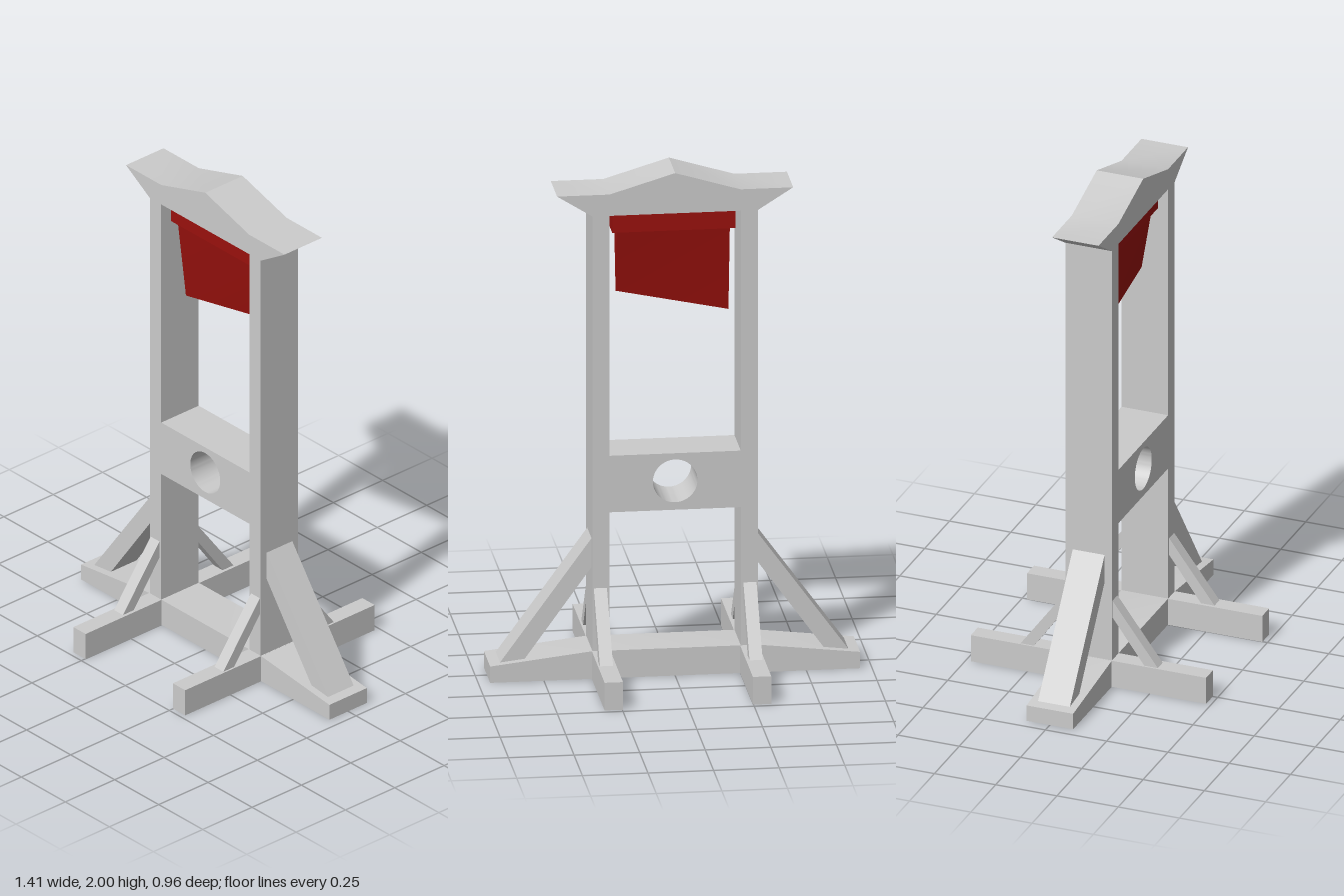
import * as THREE from 'three';
import { toCreasedNormals } from 'three/addons/utils/BufferGeometryUtils.js';

const DEPTH = 0.19;

export function createModel() {
  const model = new THREE.Group();
  model.name = 'bladeFrame';
  const wood = new THREE.MeshStandardMaterial({ color: 0xcccccc });
  const red = new THREE.MeshStandardMaterial({ color: 0x9a110d });

  const add = (name, geometry, material = wood, parent = model) => {
    const mesh = new THREE.Mesh(geometry, material);
    mesh.name = name;
    parent.add(mesh);
    return mesh;
  };

  // Outline in x and y, extruded symmetrically about z = 0
  const slab = (points, depth, hole) => {
    const shape = new THREE.Shape(points.map(([x, y]) => new THREE.Vector2(x, y)));
    if (hole) shape.holes.push(hole);
    const g = new THREE.ExtrudeGeometry(shape, { depth, bevelEnabled: false, curveSegments: 32 });
    return toCreasedNormals(g.translate(0, 0, -depth / 2), 0.4);
  };

  const box = (x0, x1, y0, y1, depth) =>
    new THREE.BoxGeometry(x1 - x0, y1 - y0, depth).translate((x0 + x1) / 2, (y0 + y1) / 2, 0);

  // Sloped base beam
  add('baseBeam', slab([
    [-0.705, 0], [0.705, 0], [0.705, 0.065], [0.315, 0.11], [-0.315, 0.11], [-0.705, 0.065],
  ], DEPTH));

  // Peaked crown with pointed eaves
  add('crown', slab([
    [-0.315, 1.84], [0.315, 1.84], [0.45, 1.925], [0.25, 1.925],
    [0, 2], [-0.25, 1.925], [-0.45, 1.925],
  ], DEPTH));

  // Neck board with a round opening
  const opening = new THREE.Path().absarc(0, 0.775, 0.085, 0, Math.PI * 2, true);
  add('neckBoard', slab([
    [-0.25, 0.66], [0.25, 0.66], [0.25, 0.885], [-0.25, 0.885],
  ], DEPTH, opening));

  // Posts, cross feet and braces on both sides
  for (const [side, s] of [['left', 1], ['right', -1]]) {
    const group = new THREE.Group();
    group.name = `${side}Support`;
    model.add(group);
    const cx = s * 0.2825;

    add('post', box(cx - 0.0325, cx + 0.0325, 0.11, 1.84, DEPTH), wood, group);
    add('crossFoot', box(cx - 0.035, cx + 0.035, 0, 0.11, 0.96), wood, group);

    const sideBrace = add('sideBrace', slab([
      [0.315, 0.435], [0.57, 0.08], [0.665, 0.068], [0.315, 0.55],
    ], 0.13), wood, group);
    if (s < 0) sideBrace.rotation.y = Math.PI;

    // Outline runs outward from the post along z once turned
    for (const [end, turn] of [['front', -1], ['back', 1]]) {
      const brace = add(`${end}Brace`, slab([
        [0.095, 0.29], [0.225, 0.11], [0.28, 0.11], [0.095, 0.36],
      ], 0.05), wood, group);
      brace.rotation.y = turn * Math.PI / 2;
      brace.position.x = s * 0.285;
    }
  }

  // Blade: a box narrowed to a slanting sharp edge
  const blade = box(-0.215, 0.215, 1.42, 1.76, 0.085);
  const p = blade.attributes.position;
  for (let i = 0; i < p.count; i++) {
    if (p.getY(i) < 1.5) {
      p.setY(i, p.getX(i) < 0 ? 1.42 : 1.51);
      p.setZ(i, Math.sign(p.getZ(i)) * 0.001);
    }
  }
  add('blade', toCreasedNormals(blade.toNonIndexed(), 0.1), red);
  add('bladeWeight', box(-0.235, 0.235, 1.76, 1.84, 0.118), red);

  return model;
}
